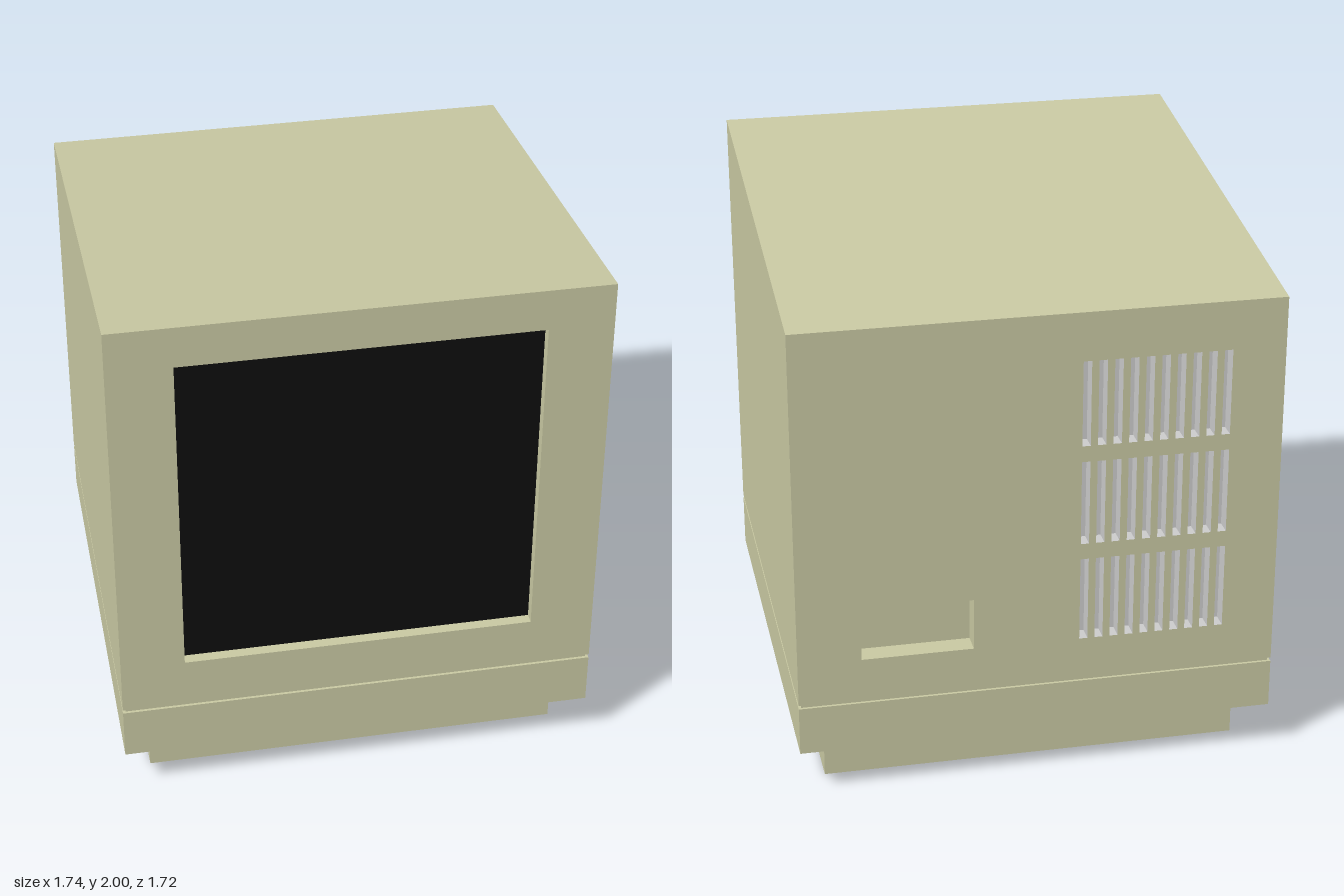
import * as THREE from 'three';

const W = 0.868, D = 0.862; // half width and half depth of the case

const caseMat = new THREE.MeshStandardMaterial({ color: 0xc8c8a2 });
const screenMat = new THREE.MeshStandardMaterial({ color: 0x0d0d0d });
const greyMat = new THREE.MeshStandardMaterial({ color: 0xcccccc });

// Straight line in z between a front and a back height
const slope = (front, back) => (z) => back + (front - back) * (z + D) / (2 * D);
const roof = slope(2.0, 1.787);
const seamTop = slope(0.391, 0.374);
const seamBottom = slope(0.376, 0.360);

function addMesh(parent, name, geometry, material = caseMat) {
  const mesh = new THREE.Mesh(geometry, material);
  mesh.name = name;
  parent.add(mesh);
  return mesh;
}

// Keep only the first n sides of a box (+x, -x, +y, -y, +z, -z)
function keepSides(geometry, n) {
  geometry.setIndex(Array.from(geometry.index.array).slice(0, n * 6));
  geometry.clearGroups();
  return geometry;
}

// Box whose bottom and top follow height rules; the bottom can be narrowed
function slopedBox(w, d, bottom, top, bottomW = w, bottomD = d) {
  const g = new THREE.BoxGeometry(2, 2, 2);
  const p = g.attributes.position;
  for (let i = 0; i < p.count; i++) {
    const up = p.getY(i) > 0;
    const z = p.getZ(i) * (up ? d : bottomD);
    p.setXYZ(i, p.getX(i) * (up ? w : bottomW), (up ? top : bottom)(z), z);
  }
  const flat = g.toNonIndexed();
  flat.computeVertexNormals();
  return flat;
}

// Inward-facing pocket, open towards +z, sunk behind the panel at z = D
function pocket({ x0, x1, y0, y1 }, depth, floor = true) {
  const g = new THREE.BoxGeometry(x1 - x0, y1 - y0, depth);
  const index = Array.from(g.index.array);
  const kept = index.slice(0, 24).concat(floor ? index.slice(30, 36) : []);
  g.setIndex(kept.reverse());
  g.clearGroups();
  g.translate((x0 + x1) / 2, (y0 + y1) / 2, D - depth / 2);
  const flat = g.toNonIndexed();
  flat.computeVertexNormals();
  return flat;
}

// Flat panel at z = D with rectangular openings
function panel(bottom, top, openings) {
  const shape = new THREE.Shape([
    new THREE.Vector2(-W, bottom), new THREE.Vector2(W, bottom),
    new THREE.Vector2(W, top), new THREE.Vector2(-W, top),
  ]);
  for (const { x0, x1, y0, y1 } of openings) {
    shape.holes.push(new THREE.Path([
      new THREE.Vector2(x0, y0), new THREE.Vector2(x0, y1),
      new THREE.Vector2(x1, y1), new THREE.Vector2(x1, y0),
    ]));
  }
  return new THREE.ShapeGeometry(shape).translate(0, 0, D);
}

export function createModel() {
  const model = new THREE.Group();
  model.name = 'compactComputer';

  // Foot, tapered underside, lower case and the recessed seam above it
  const level = (y) => () => y;
  addMesh(model, 'foot', slopedBox(0.766, 0.73, level(0), level(0.135)));
  addMesh(model, 'taperedUnderside', slopedBox(W, D, level(0.133), level(0.178), 0.766, 0.73));
  addMesh(model, 'lowerCase', slopedBox(W, D, level(0.178), seamBottom));
  addMesh(model, 'seam', slopedBox(W - 0.01, D - 0.01, level(0.34), level(0.4)));

  // Upper case: sides, sloping roof and floor, open at front and back
  const shell = new THREE.BoxGeometry(2 * W, 2, 2 * D);
  const p = shell.attributes.position;
  for (let i = 0; i < p.count; i++) {
    p.setY(i, (p.getY(i) > 0 ? roof : seamTop)(p.getZ(i)));
  }
  const upper = keepSides(shell, 4).toNonIndexed();
  upper.computeVertexNormals();
  addMesh(model, 'upperCase', upper);

  // Front panel with the recessed screen
  const front = new THREE.Group();
  front.name = 'front';
  model.add(front);
  const opening = { x0: -0.637, x1: 0.637, y0: 0.58, y1: 1.845 };
  const screenDepth = 0.04;
  addMesh(front, 'frontPanel', panel(seamTop(D), roof(D), [opening]));
  addMesh(front, 'screenFrame', pocket(opening, screenDepth, false));
  const screen = addMesh(front, 'screen',
    new THREE.PlaneGeometry(opening.x1 - opening.x0, opening.y1 - opening.y0), screenMat);
  screen.position.set(0, (opening.y0 + opening.y1) / 2, D - screenDepth);

  // Back panel, built facing +z and then turned round
  const back = new THREE.Group();
  back.name = 'back';
  back.rotation.y = Math.PI;
  model.add(back);
  const socket = { x0: -0.64, x1: -0.237, y0: 0.535, y1: 0.73 };
  const slots = [];
  for (let row = 0; row < 3; row++) {
    for (let col = 0; col < 10; col++) {
      const x0 = 0.147 + col * 0.0555, y0 = 0.533 + row * 0.378;
      slots.push({ x0, x1: x0 + 0.03, y0, y1: y0 + 0.318 });
    }
  }
  addMesh(back, 'backPanel', panel(seamTop(-D), roof(-D), [socket, ...slots]));
  addMesh(back, 'socketRecess', pocket(socket, 0.08));
  const vents = new THREE.Group();
  vents.name = 'vents';
  back.add(vents);
  for (const slot of slots) addMesh(vents, 'ventSlot', pocket(slot, 0.06), greyMat);

  return model;
}
